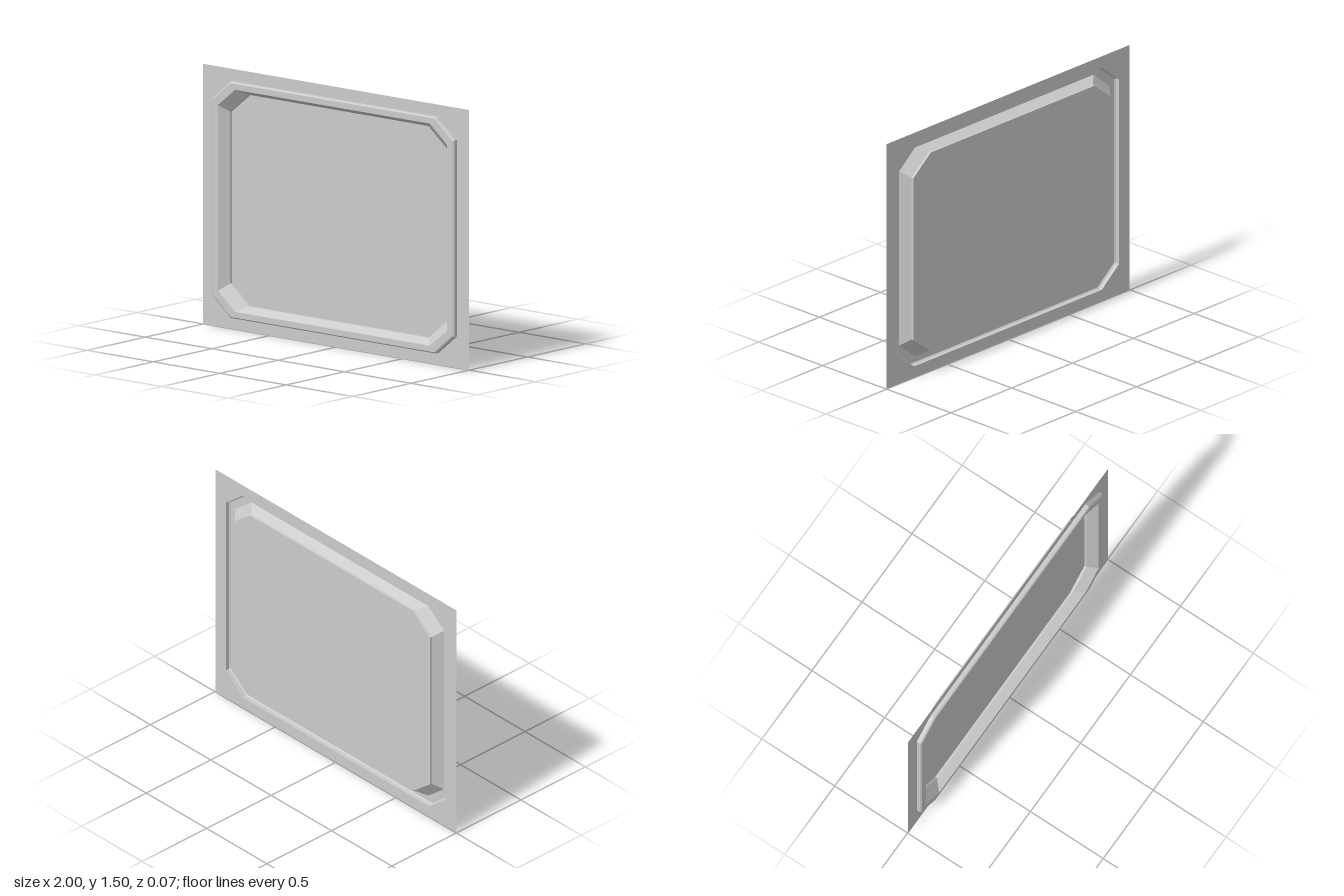
import * as THREE from 'three';

const MID_Y = 0.7515;
const material = new THREE.MeshStandardMaterial({
  color: 0xcccccc, flatShading: true, side: THREE.DoubleSide,
});

// Rectangle with chamfered corners at depth z, counter-clockwise seen from the front
function ring(hx, hy, cx, cy, z) {
  const corners = [];
  for (const [sx, sy] of [[1, 1], [-1, 1], [-1, -1], [1, -1]]) {
    const onSide = [sx * hx, MID_Y + sy * (hy - cy), z];
    const onEnd = [sx * (hx - cx), MID_Y + sy * hy, z];
    corners.push(...(sx * sy > 0 ? [onSide, onEnd] : [onEnd, onSide]));
  }
  return corners;
}

function sheetMesh(name, positions) {
  const geometry = new THREE.BufferGeometry();
  geometry.setAttribute('position', new THREE.Float32BufferAttribute(positions, 3));
  geometry.computeVertexNormals();
  const mesh = new THREE.Mesh(geometry, material);
  mesh.name = name;
  return mesh;
}

// Strip of faces joining an outer ring to the next ring inward
function band(name, a, b) {
  const positions = [];
  a.forEach((p, i) => {
    const j = (i + 1) % a.length;
    if (p[0] !== a[j][0] || p[1] !== a[j][1]) positions.push(...p, ...a[j], ...b[j]);
    positions.push(...p, ...b[j], ...b[i]);
  });
  return sheetMesh(name, positions);
}

// Flat fan closing the innermost ring
function cap(name, r) {
  const positions = [];
  for (let i = 1; i < r.length - 1; i++) positions.push(...r[0], ...r[i], ...r[i + 1]);
  return sheetMesh(name, positions);
}

export function createModel() {
  const group = new THREE.Group();
  group.name = 'pressedPanel';

  // Cross-section of the pressed sheet, from its border to the recessed floor
  const border = ring(1, 0.7515, 0, 0, 0.003);
  const rimFoot = ring(0.912, 0.682, 0.14, 0.115, 0.003);
  const rimShoulder = ring(0.912, 0.682, 0.14, 0.115, 0.026);
  const rimTop = ring(0.904, 0.675, 0.138, 0.113, 0.033);
  const recessEdge = ring(0.863, 0.641, 0.13, 0.105, 0.033);
  const slopeFoot = ring(0.818, 0.612, 0.143, 0.115, -0.02);
  const floorEdge = ring(0.816, 0.611, 0.143, 0.115, -0.033);

  group.add(
    band('borderSheet', border, rimFoot),
    band('rimWall', rimFoot, rimShoulder),
    band('rimBevel', rimShoulder, rimTop),
    band('rimFace', rimTop, recessEdge),
    band('recessSlope', recessEdge, slopeFoot),
    band('recessWall', slopeFoot, floorEdge),
    cap('recessFloor', floorEdge),
  );
  return group;
}
